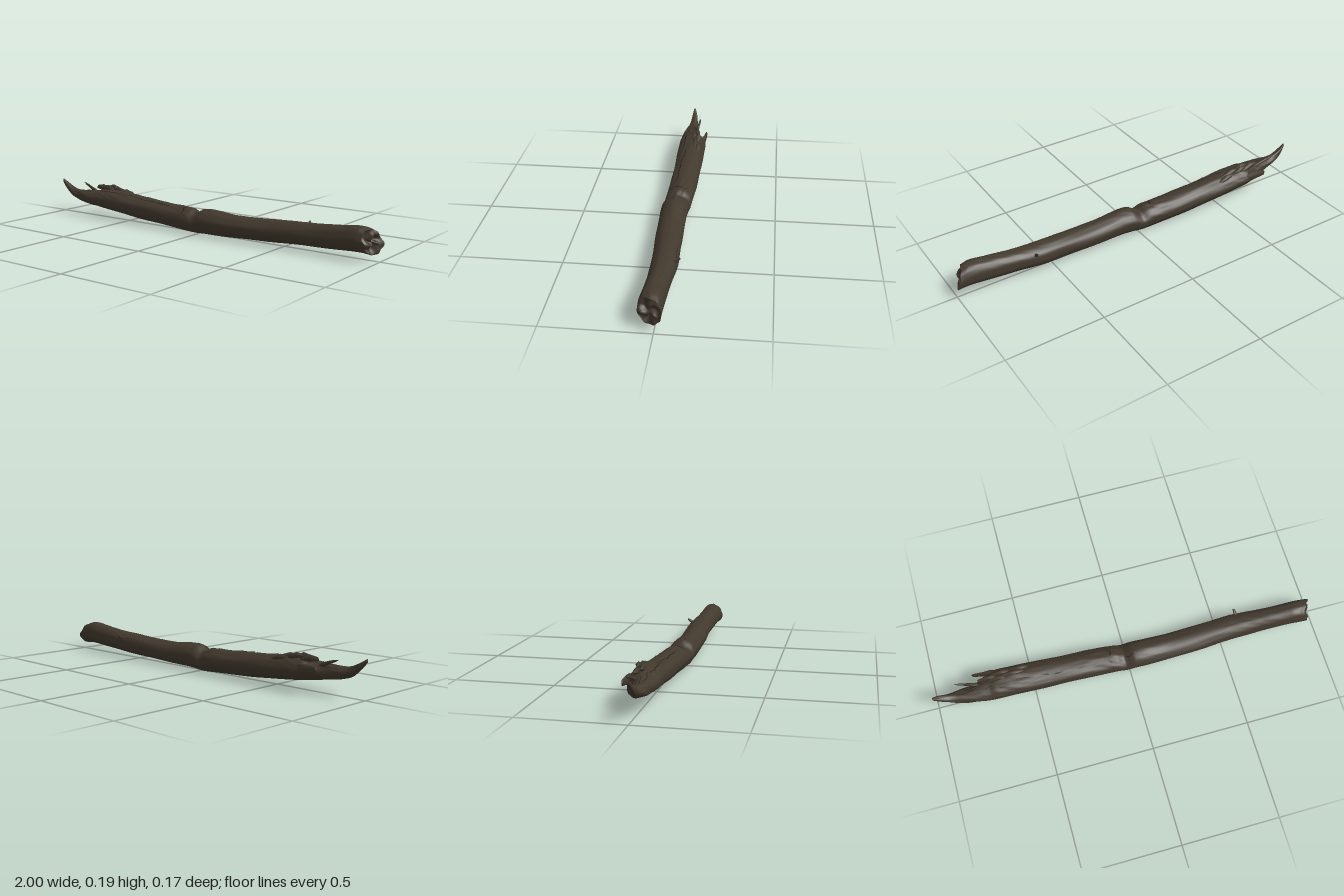
import * as THREE from 'three';

const SIDES = 40;
const lerp = THREE.MathUtils.lerp, step = THREE.MathUtils.smoothstep;

// Stations along the log: x, bottom y, top y, back z, front z
const STATIONS = [
  [-1.0, 0.172, 0.192, 0.0, 0.012], [-0.97, 0.138, 0.172, -0.012, 0.018],
  [-0.93, 0.105, 0.152, -0.018, 0.024], [-0.89, 0.09, 0.142, -0.025, 0.034],
  [-0.84, 0.078, 0.142, -0.034, 0.046], [-0.77, 0.067, 0.148, -0.046, 0.056],
  [-0.72, 0.061, 0.152, -0.07, 0.061], [-0.68, 0.056, 0.16, -0.085, 0.064],
  [-0.58, 0.045, 0.16, -0.085, 0.065], [-0.4, 0.027, 0.145, -0.08, 0.065],
  [-0.2, 0.014, 0.133, -0.074, 0.068], [-0.07, 0.007, 0.127, -0.066, 0.074],
  [-0.02, 0.006, 0.11, -0.061, 0.077], [0.03, 0.008, 0.135, -0.057, 0.08],
  [0.1, 0.01, 0.137, -0.053, 0.081], [0.22, 0.014, 0.125, -0.054, 0.079],
  [0.4, 0.02, 0.13, -0.056, 0.073], [0.56, 0.027, 0.138, -0.06, 0.065],
  [0.7, 0.034, 0.145, -0.048, 0.065], [0.82, 0.04, 0.157, -0.04, 0.069],
  [0.89, 0.043, 0.166, -0.037, 0.072], [0.96, 0.044, 0.164, -0.035, 0.075],
  [1.0, 0.04, 0.155, -0.034, 0.075],
];
const heights = new THREE.CatmullRomCurve3(STATIONS.map(s => new THREE.Vector3(s[0], s[1], s[2])), false, 'catmullrom', 0.4);
const depths = new THREE.CatmullRomCurve3(STATIONS.map(s => new THREE.Vector3(s[0], s[3], s[4])), false, 'catmullrom', 0.4);

// Point on the bark at length t (0..1) and angle a, with grain and knots
function barkPoint(t, a, lift = 0) {
  const h = heights.getPoint(t), d = depths.getPoint(t);
  const x = h.x, c = Math.cos(a), s = Math.sin(a);
  const worn = step(x, -0.85, -0.6) * (1 - step(x, -0.1, 0.0));
  const top = Math.max(0, s);
  let r = 1 + 0.015 * Math.sin(5 * a + 3 * x) + 0.012 * Math.sin(9 * a - 7 * x + 1)
    + 0.012 * Math.sin(23 * x + 2 * a);
  r += (0.015 + 0.03 * worn) * top * Math.sin(13 * a + 6 * Math.sin(9 * x)) * Math.sin(31 * x);
  r += 0.05 * (1 - step(x, -0.9, -0.65)) * Math.sin(4 * a + 40 * x);
  const ry = (h.z - h.y) / 2, rz = (d.z - d.y) / 2;
  const y = (h.y + h.z) / 2 + s * (ry * r + lift);
  const z = (d.y + d.z) / 2 + c * (rz * r + lift);
  const end = step(x, 0.85, 1);
  const slant = 0.43 * Math.max(0, z + 0.03) + 0.022 * step(y, 0.09, 0.13) + 0.004 * Math.sin(7 * a);
  return new THREE.Vector3(x - end * slant, y, z);
}

// Skin a list of rings into one surface
function skin(rings, closed = true) {
  const n = rings[0].length, pos = [], idx = [];
  rings.forEach(ring => ring.forEach(p => pos.push(p.x, p.y, p.z)));
  for (let i = 0; i < rings.length - 1; i++) {
    for (let j = 0; j < (closed ? n : n - 1); j++) {
      const k = (j + 1) % n, a = i * n + j, b = a + n, c = (i + 1) * n + k, d = i * n + k;
      idx.push(a, b, d, b, c, d);
    }
  }
  const g = new THREE.BufferGeometry();
  g.setAttribute('position', new THREE.Float32BufferAttribute(pos, 3));
  g.setIndex(idx);
  g.computeVertexNormals();
  return g;
}

const ringAt = t => Array.from({ length: SIDES }, (_, j) => barkPoint(t, j / SIDES * Math.PI * 2));
const centreOf = ring => ring.reduce((s, p) => s.add(p), new THREE.Vector3()).divideScalar(ring.length);

// Pointed sliver running along x: rows of x, y, z, half height, half depth
function sliver(rows) {
  return skin(rows.map(([x, y, z, h, d], i) => Array.from({ length: 8 }, (_, j) => {
    const a = j / 8 * Math.PI * 2, r = 1 + 0.15 * Math.sin(3 * a + 2 * i);
    return new THREE.Vector3(x, y + Math.sin(a) * h * r, z + Math.cos(a) * d * r);
  })));
}

// Tapered crack lying on the bark from (t0, a0) to (t1, a1)
function crack(t0, a0, t1, a1, width) {
  const rows = [], n = 28, along = Math.abs(t1 - t0) > 0.03;
  for (let i = 0; i <= n; i++) {
    const f = i / n, w = width * Math.sin(Math.PI * f) * (0.7 + 0.3 * Math.sin(i * 2.1));
    const t = lerp(t0, t1, f), a = lerp(a0, a1, f), wob = Math.sin(i * 0.9) * 0.5 + Math.sin(i * 0.37);
    rows.push([-1, 0, 1].map(k => along
      ? barkPoint(t, a + 0.05 * wob + k * w / 0.065, 0.0015)
      : barkPoint(t + 0.002 * wob + k * w / 2, a, 0.0015)));
  }
  return skin(rows, false);
}

export function createModel() {
  const model = new THREE.Group();
  model.name = 'brokenLog';
  const make = (name, color, side = THREE.FrontSide) => {
    const m = new THREE.MeshStandardMaterial({ color, side });
    m.name = name;
    return m;
  };
  const bark = make('bark', 0x42392e);
  const wood = make('endWood', 0x40362d);
  const dark = make('crevice', 0x29231c, THREE.DoubleSide);
  const add = (name, geometry, material) => {
    const mesh = new THREE.Mesh(geometry, material);
    mesh.name = name;
    model.add(mesh);
    return mesh;
  };

  // Trunk, closed at the splintered tip
  const rings = Array.from({ length: 181 }, (_, i) => ringAt(i / 180));
  const tip = centreOf(rings[0]);
  add('trunk', skin([rings[0].map(() => tip), ...rings]), bark);

  // Rough broken face at the thick end
  const rim = rings[180], hub = centreOf(rim);
  const face = [1, 0.88, 0.7, 0.5, 0.3, 0.12, 0].map((f, k) => rim.map((p, j) => {
    const a = j / SIDES * Math.PI * 2, q = hub.clone().lerp(p, f);
    q.x += 0.012 * f * (1 - f) * 4 * Math.sin(3 * a + k) - 0.008 * (1 - f);
    return q;
  }));
  add('brokenEnd', skin(face), wood);

  // Splinters at the thin end
  add('backSplinter', sliver([[-0.795, 0.123, -0.083, 0, 0], [-0.785, 0.122, -0.082, 0.016, 0.006],
    [-0.74, 0.12, -0.079, 0.022, 0.008], [-0.69, 0.118, -0.074, 0.026, 0.011], [-0.64, 0.115, -0.07, 0, 0]]), bark);
  add('thinSplinter', sliver([[-0.885, 0.178, -0.042, 0, 0], [-0.86, 0.169, -0.038, 0.006, 0.005],
    [-0.83, 0.16, -0.033, 0.007, 0.006], [-0.78, 0.14, -0.025, 0.012, 0.01], [-0.74, 0.125, -0.02, 0, 0]]), bark);
  add('tipSplinter', sliver([[-0.985, 0.148, 0.002, 0, 0], [-0.96, 0.14, 0.004, 0.007, 0.006],
    [-0.92, 0.125, 0.008, 0.012, 0.01], [-0.87, 0.115, 0.01, 0, 0]]), bark);

  // Torn bark standing up near the thin end
  const torn = [
    [-0.72, 0.163, -0.035, 0.12, 0.017], [-0.67, 0.165, -0.02, 0.11, 0.018], [-0.65, 0.171, -0.045, 0.08, 0.014],
    [-0.6, 0.162, -0.03, 0.13, 0.014], [-0.56, 0.152, -0.05, 0.1, 0.014],
  ];
  torn.forEach(([x, y, z, len, h], i) => add('tornBark' + (i + 1), sliver([
    [x - len * 0.4, y + h * 0.2, z, 0, 0], [x - len * 0.34, y, z + 0.004, h * 0.6, 0.008],
    [x, y, z, h, 0.013], [x + len * 0.3, y - h * 0.5, z - 0.004, h * 0.8, 0.013],
    [x + len * 0.7, y - h * 1.3, z, 0, 0]]), bark));

  // Snapped twig on the back
  const twig = add('twigStub', new THREE.CylinderGeometry(0.005, 0.011, 0.045, 8), bark);
  twig.position.set(0.6, 0.118, -0.053);
  twig.rotation.set(-0.95, 0, 0.15);

  // Cracks along the grain, plus one around the notch
  [
    [0.13, 1.5, 0.24, 1.75, 0.005], [0.16, 1.9, 0.25, 2.1, 0.006], [0.17, 1.2, 0.3, 1.35, 0.004],
    [0.27, 1.15, 0.4, 1.0, 0.004], [0.36, 1.3, 0.48, 1.05, 0.004], [0.15, 2.4, 0.23, 2.3, 0.005],
    [0.52, 1.3, 0.63, 1.4, 0.003], [0.74, 2.4, 0.79, 2.6, 0.003],
    [0.489, 0.5, 0.491, 2.2, 0.006],
  ].forEach((c, i) => add('crack' + (i + 1), crack(...c), dark));

  return model;
}
